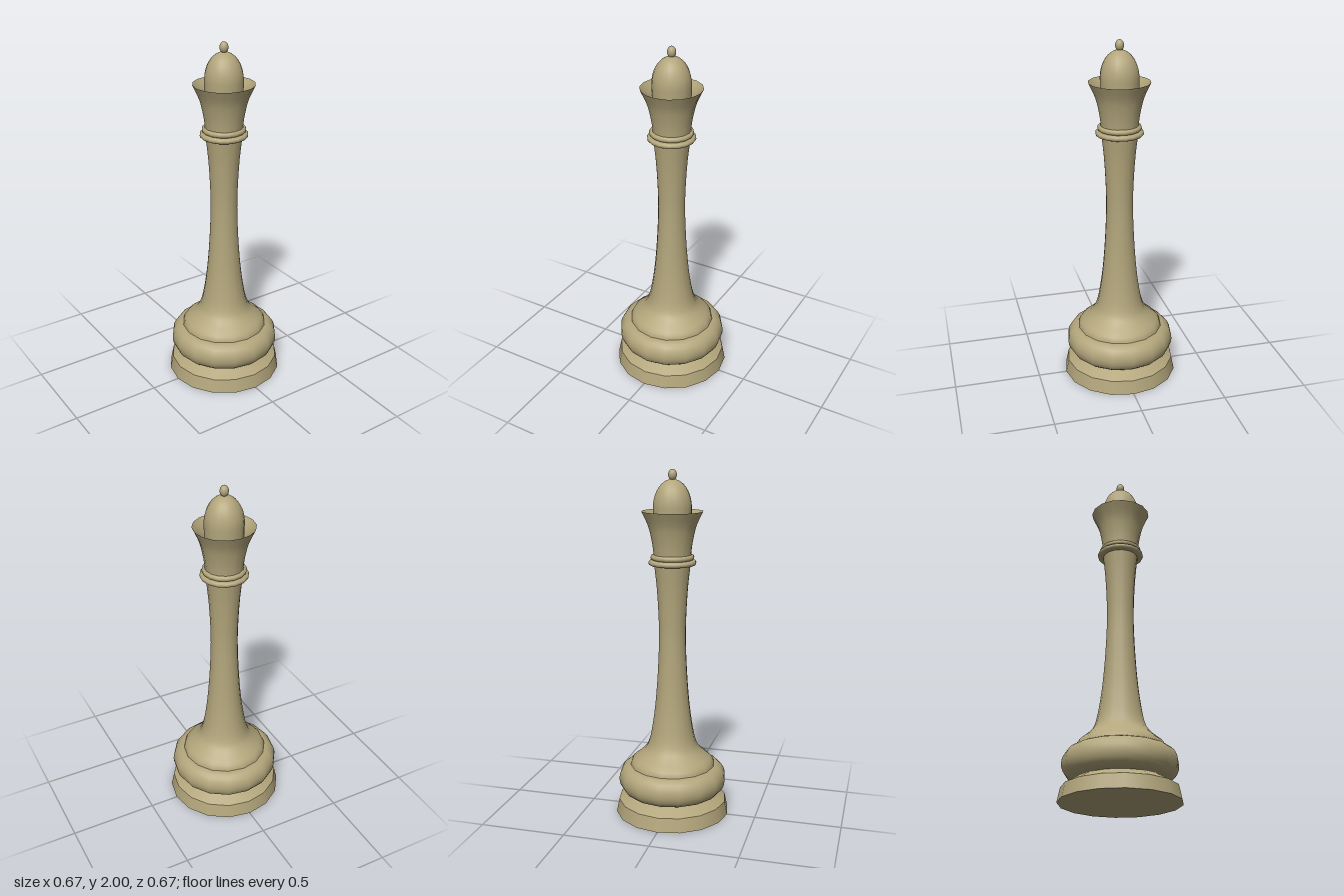
import * as THREE from 'three';

const SIDES = 16;

// Smooth run of points through the given [radius, height] pairs
function smooth(pairs, steps) {
  const curve = new THREE.SplineCurve(pairs.map(([r, y]) => new THREE.Vector2(r, y)));
  return curve.getPoints(steps).map(p => [Math.max(p.x, 0), p.y]);
}

// Elliptical arc in the profile plane, angles in degrees
function arc(r, y, rx, ry, from, to, steps) {
  return Array.from({ length: steps + 1 }, (_, i) => {
    const a = THREE.MathUtils.degToRad(from + (to - from) * i / steps);
    return [Math.max(r + rx * Math.cos(a), 0), y + ry * Math.sin(a)];
  });
}

export function createModel() {
  const group = new THREE.Group();
  const material = new THREE.MeshStandardMaterial({ color: 0xb3a67c });

  // Each profile runs bottom to top on the outside; separate runs keep hard edges between them
  const turn = (name, ...profiles) => {
    const part = new THREE.Group();
    part.name = name;
    profiles.forEach((pairs, i) => {
      const points = pairs.map(([r, y]) => new THREE.Vector2(r, y));
      const mesh = new THREE.Mesh(new THREE.LatheGeometry(points, SIDES), material);
      mesh.name = `${name}Surface${i + 1}`;
      part.add(mesh);
    });
    group.add(part);
  };

  // Plinth with a bevelled shoulder running in under the cushion
  turn('plinth',
    [[0, 0], [0.334, 0]],
    [[0.334, 0], [0.317, 0.08]],
    [[0.317, 0.08], [0.235, 0.125]]);

  // Rounded cushion
  turn('cushion',
    [[0.2, 0.123], ...arc(0.245, 0.208, 0.071, 0.085, -90, 90, 12), [0.2, 0.293]]);

  // Flared foot and slender stem
  turn('foot', smooth([[0.248, 0.292], [0.238, 0.32], [0.21, 0.345]], 4));
  turn('stem', smooth([[0.21, 0.345], [0.165, 0.385], [0.14, 0.43], [0.121, 0.51], [0.1, 0.66],
    [0.085, 0.85], [0.077, 1.05], [0.08, 1.2], [0.089, 1.35], [0.103, 1.48], [0.108, 1.54]], 30));

  // Two collar rings
  turn('lowerCollar', [[0.09, 1.473], ...arc(0.12, 1.488, 0.015, 0.015, -90, 90, 8), [0.09, 1.503]]);
  turn('upperCollar', [[0.09, 1.503], ...arc(0.109, 1.518, 0.014, 0.015, -90, 90, 8), [0.09, 1.533]]);

  // Flared crown: outer wall, then the hollow inside down to the dome
  turn('crown',
    smooth([[0.105, 1.53], [0.114, 1.6], [0.135, 1.69], [0.172, 1.772]], 12),
    smooth([[0.172, 1.772], [0.14, 1.735], [0.118, 1.7], [0.106, 1.67]], 8));

  // Dome and finial
  turn('dome', [[0.104, 1.66], [0.107, 1.73], ...arc(0, 1.79, 0.108, 0.156, 0, 90, 10)]);
  turn('finial', arc(0, 1.969, 0.024, 0.031, -90, 90, 12));

  return group;
}
